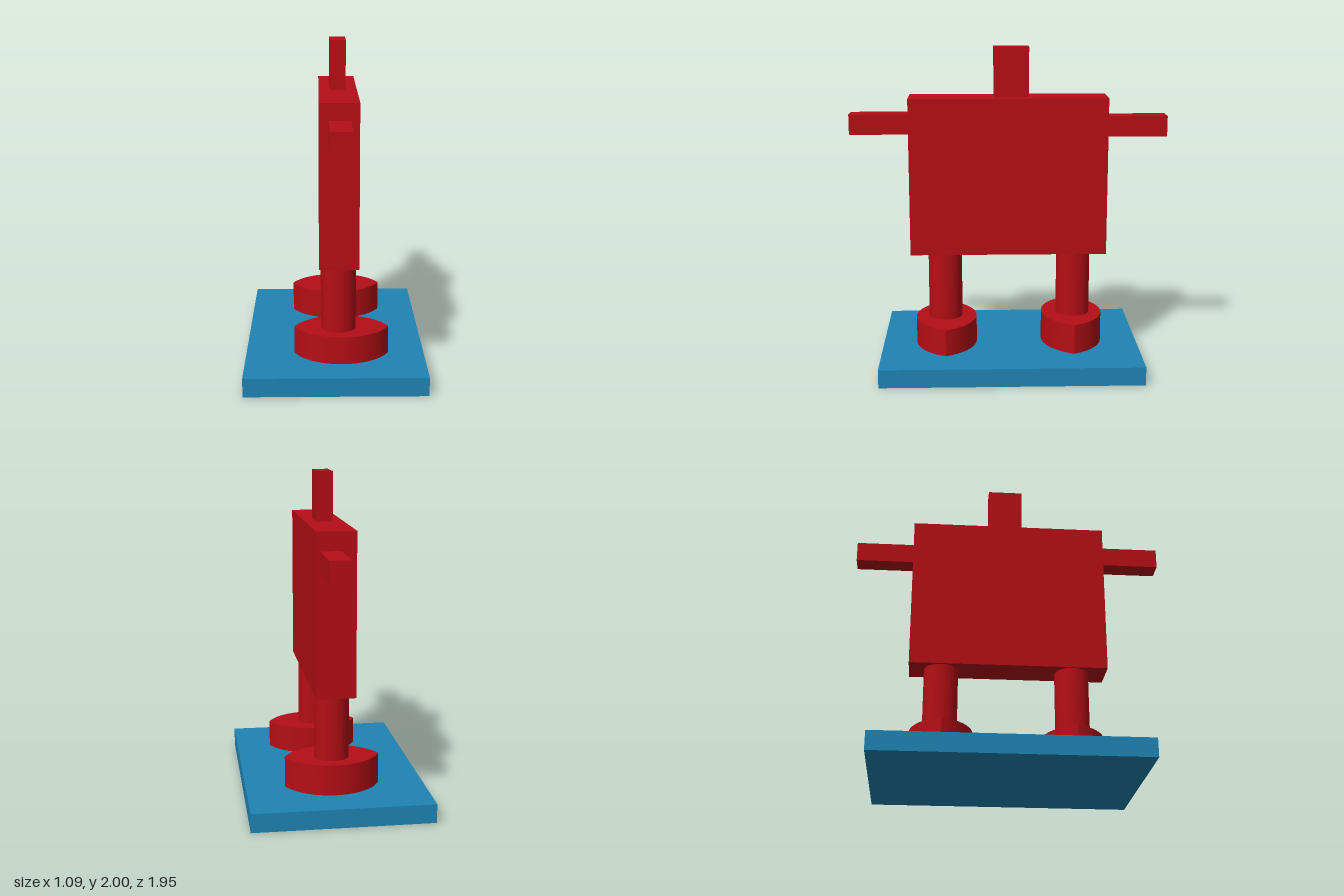
import * as THREE from 'three';

const red = new THREE.MeshStandardMaterial({ color: 0xb40e15 });
const blue = new THREE.MeshStandardMaterial({ color: 0x1f84b4 });

// Box given by its [min, max] extents on each axis
function box(name, [x0, x1], [y0, y1], [z0, z1], material = red) {
  const mesh = new THREE.Mesh(new THREE.BoxGeometry(x1 - x0, y1 - y0, z1 - z0), material);
  mesh.position.set((x0 + x1) / 2, (y0 + y1) / 2, (z0 + z1) / 2);
  mesh.name = name;
  return mesh;
}

// Round leg standing between two heights
function leg(name, x, z, y0, y1) {
  const mesh = new THREE.Mesh(new THREE.CylinderGeometry(0.106, 0.106, y1 - y0, 64), red);
  mesh.position.set(x, (y0 + y1) / 2, z);
  mesh.name = name;
  return mesh;
}

// Lens-shaped foot: two equal arcs meeting in points at the x ends
function foot(name, x, z, y0, y1) {
  const w = 0.288, h = 0.192;
  const r = (w * w + h * h) / (2 * h);
  const a = Math.asin(w / r);
  const shape = new THREE.Shape();
  shape.absarc(0, h - r, r, Math.PI / 2 - a, Math.PI / 2 + a, false);
  shape.absarc(0, r - h, r, 1.5 * Math.PI - a, 1.5 * Math.PI + a, false);
  const geometry = new THREE.ExtrudeGeometry(shape, { depth: y1 - y0, bevelEnabled: false, curveSegments: 32 });
  geometry.rotateX(-Math.PI / 2);
  const mesh = new THREE.Mesh(geometry, red);
  mesh.position.set(x, y0, z);
  mesh.name = name;
  return mesh;
}

export function createModel() {
  const model = new THREE.Group();
  model.name = 'blockFigure';
  model.add(
    box('base', [-0.547, 0.542], [0, 0.115], [-0.822, 0.797], blue),
    // Feet and legs
    foot('frontFoot', 0.036, 0.395, 0.115, 0.285),
    foot('backFoot', 0.014, -0.405, 0.115, 0.302),
    leg('frontLeg', 0.018, 0.4, 0.285, 0.715),
    leg('backLeg', 0.018, -0.413, 0.302, 0.715),
    // Upper body
    box('torso', [-0.1, 0.136], [0.715, 1.695], [-0.612, 0.613]),
    box('head', [-0.031, 0.067], [1.695, 2], [-0.127, 0.09]),
    box('frontArm', [-0.042, 0.085], [1.47, 1.594], [0.613, 0.977]),
    box('backArm', [-0.012, 0.113], [1.456, 1.582], [-0.976, -0.612])
  );
  return model;
}
